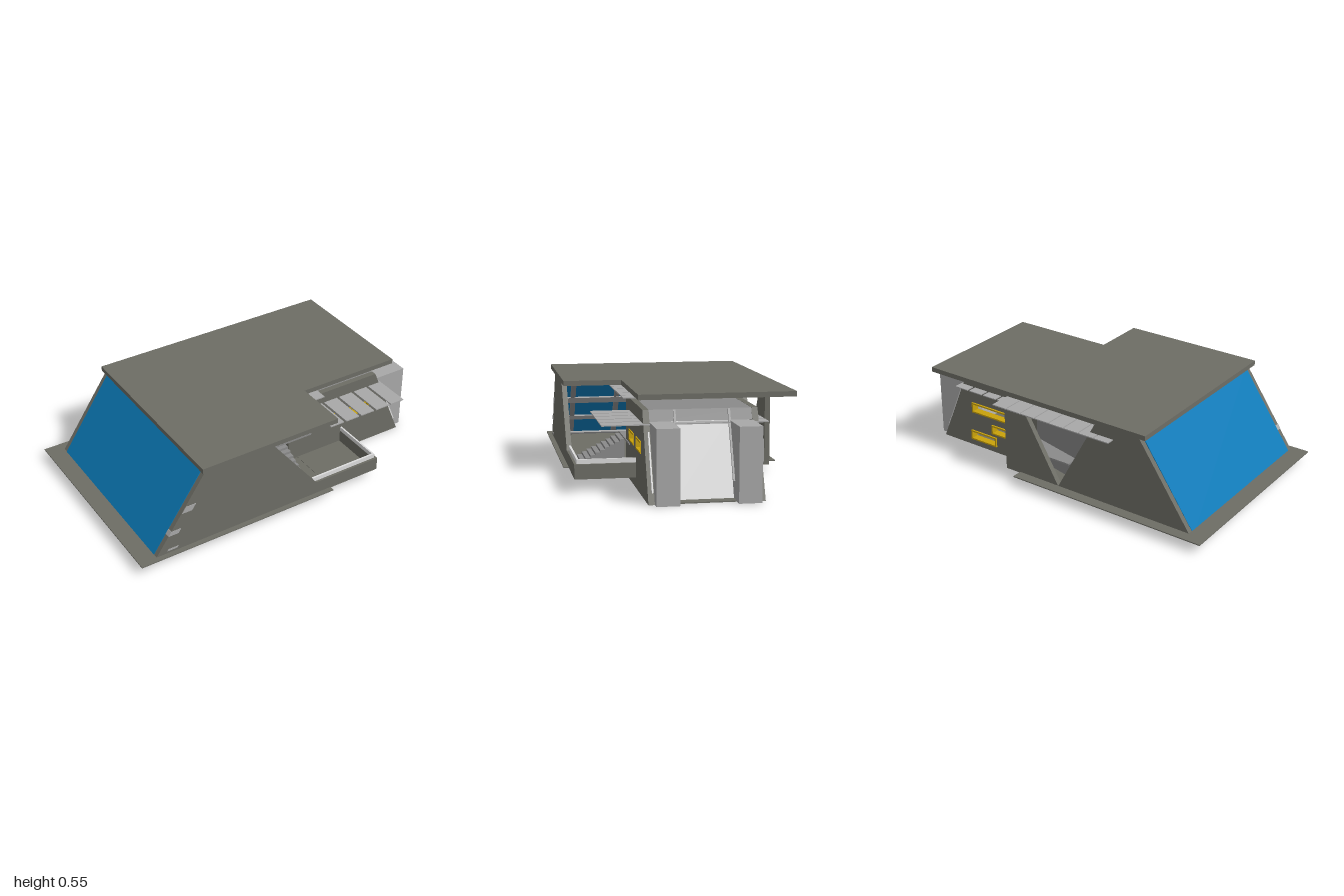
import * as THREE from 'three';

const mat = (name, color) => {
  const m = new THREE.MeshStandardMaterial({ color });
  m.name = name;
  return m;
};

export function createModel() {
  const model = new THREE.Group();
  const concrete = mat('concrete', 0x6d6d65);
  const glass = mat('blueGlass', 0x0b7ab8);
  const yellow = mat('yellowFrame', 0xc9a20a);
  const lightGrey = mat('lightGrey', 0xa8a8a8);
  const pale = mat('paleGrey', 0xdcdcdc);
  const midGrey = mat('midGrey', 0x8a8a8a);
  glass.side = midGrey.side = THREE.DoubleSide;

  const add = (name, geo, m) => {
    const mesh = new THREE.Mesh(geo, m);
    mesh.name = name;
    model.add(mesh);
    return mesh;
  };
  // Box given by its limits on each axis
  const box = (name, m, x0, x1, y0, y1, z0, z1) => {
    const g = new THREE.BoxGeometry(x1 - x0, y1 - y0, z1 - z0);
    g.translate((x0 + x1) / 2, (y0 + y1) / 2, (z0 + z1) / 2);
    return add(name, g, m);
  };
  const shapeOf = pts => new THREE.Shape(pts.map(p => new THREE.Vector2(...p)));
  const rect = ([x0, x1, y0, y1], inset = 0) => [
    [x0 + inset, y0 + inset], [x1 - inset, y0 + inset],
    [x1 - inset, y1 - inset], [x0 + inset, y1 - inset]];
  // Elevation outline given thickness along z, with rectangular holes
  const wall = (name, m, pts, z0, z1, holes = []) => {
    const s = shapeOf(pts);
    holes.forEach(h => s.holes.push(shapeOf(h)));
    const g = new THREE.ExtrudeGeometry(s, { depth: z1 - z0, bevelEnabled: false });
    return add(name, g.translate(0, 0, z0), m);
  };
  // Plan outline given thickness downwards from its top
  const slab = (name, m, pts, top, thick) => {
    const g = new THREE.ExtrudeGeometry(shapeOf(pts), { depth: thick, bevelEnabled: false });
    return add(name, g.rotateX(Math.PI / 2).translate(0, top, 0), m);
  };

  // Roof and ground sheets
  slab('roof', concrete, [[-0.62, -0.55], [0.85, -0.55], [0.85, 0.28], [0.23, 0.28], [0.23, 0.6], [-0.62, 0.6]], 0.548, 0.028);
  box('groundSlab', concrete, -1, 0.22, 0.059, 0.065, -0.61, 0.605);
  box('balconyFloor', concrete, 0.22, 0.545, 0.059, 0.067, 0.24, 0.575);
  box('rearTerraceFloor', concrete, 0.22, 0.317, 0.059, 0.067, -0.55, -0.36);

  // Main hall: front wall running into the balcony parapet
  wall('hallFrontWall', concrete, [[-0.9, 0.062], [0.545, 0.062], [0.545, 0.14], [0.12, 0.14], [-0.18, 0.52], [-0.585, 0.52]], 0.548, 0.577);
  box('balconyEndParapet', concrete, 0.522, 0.545, 0.065, 0.14, 0.245, 0.55);
  box('balconyFrontRail', pale, 0.105, 0.533, 0.138, 0.165, 0.552, 0.564);
  box('balconyEndRail', pale, 0.523, 0.533, 0.138, 0.165, 0.245, 0.564);

  // Rear wall in two pieces, leaving a V-shaped opening
  wall('hallRearWall', concrete, [[-0.9, 0.062], [-0.05, 0.062], [-0.3, 0.52], [-0.585, 0.52]], -0.55, -0.52);
  wall('hallRearWedge', concrete, [[-0.05, 0.062], [0.317, 0.062], [0.317, 0.46], [0.18, 0.46]], -0.55, -0.52);
  box('terraceEnd', lightGrey, 0.3, 0.31, 0.065, 0.205, -0.522, -0.36);
  box('upperFloor', midGrey, -0.1, 0.31, 0.195, 0.205, -0.52, 0.25);

  // Recessed panel behind the opening, turned in plan
  const panel = new THREE.PlaneGeometry(0.6, 0.395);
  panel.rotateY(-Math.atan2(0.13, 0.56));
  panel.scale(1, 1, 1).translate(-0.06, 0.2625, -0.44);
  add('recessedPanel', panel, midGrey);

  // Sloping glass front with mullions and cross beams
  const slopeSheet = (name, m, [xa, ya], [xb, yb], t, z0, z1) =>
    wall(name, m, [[xa, ya], [xa + t, ya], [xb + t, yb], [xb, yb]], z0, z1);
  slopeSheet('slopingGlass', glass, [-0.912, 0.047], [-0.59, 0.52], 0.008, -0.52, 0.548);
  for (const z of [0.46, 0.185, -0.12, -0.455])
    slopeSheet('mullion', midGrey, [-0.885, 0.058], [-0.57, 0.52], 0.03, z - 0.015, z + 0.015);
  for (const [x, y, h] of [[-0.738, 0.293, 0.035], [-0.824, 0.175, 0.025], [-0.834, 0.08, 0.01]])
    slopeSheet('crossBeam', lightGrey, [x, y], [x + h * 0.68, y + h], 0.06, -0.52, 0.58);

  // Stairs up to the upper floor
  for (let i = 0; i < 9; i++)
    box('step', midGrey, -0.08, 0.13, 0.065, 0.08 + i * 0.0145, 0.25, 0.5 - i * 0.028);

  // Side block: floor, two windowed walls, top
  const outline = [[0.155, 0], [0.955, 0], [0.76, 0.457], [0.165, 0.457], [0.155, 0.2]];
  const frontWindows = [[0.305, 0.475, 0.222, 0.285], [0.555, 0.722, 0.22, 0.285]];
  const rearWindows = [[0.43, 0.722, 0.222, 0.285], [0.42, 0.576, 0.12, 0.178], [0.546, 0.737, 0.04, 0.1]];
  wall('blockFrontWall', concrete, outline, 0.212, 0.245, frontWindows.map(w => rect(w, 0.004)));
  wall('blockRearWall', concrete, outline, -0.363, -0.33, rearWindows.map(w => rect(w, 0.004)));
  for (const w of frontWindows)
    wall('frontWindowFrame', yellow, rect(w), 0.208, 0.251, [rect(w, 0.009)]);
  for (const w of rearWindows)
    wall('rearWindowFrame', yellow, rect(w), -0.373, -0.328, [rect(w, 0.009)]);
  box('blockFloor', concrete, 0.155, 0.95, 0, 0.006, -0.33, 0.212);
  box('blockBase', concrete, 0.155, 0.165, 0, 0.065, -0.33, 0.212);
  wall('blockTop', midGrey, [[0.2, 0.397], [0.783, 0.397], [0.758, 0.456], [0.2, 0.456]], -0.33, 0.212);

  // Entrance end: pillars, sloping pale screen, sloping posts
  box('frontPillar', lightGrey, 0.785, 1, 0, 0.395, 0.09, 0.212);
  box('rearPillar', lightGrey, 0.785, 1, 0, 0.395, -0.333, -0.212);
  slopeSheet('entranceScreen', pale, [0.88, 0.004], [0.735, 0.397], 0.008, -0.215, 0.092);
  for (const z of [0.08, -0.208])
    slopeSheet('entrancePost', lightGrey, [0.9, 0.1], [0.76, 0.455], 0.012, z - 0.006, z + 0.006);
  for (const z of [0.222, -0.34])
    slopeSheet('edgeStrip', pale, [0.925, 0.06], [0.8, 0.35], 0.022, z - 0.004, z + 0.004);

  // Sunshade slats
  for (let i = 0; i < 5; i++) {
    const x = 0.29 + i * 0.1055;
    box('lowerSlat', lightGrey, x, x + 0.09, 0.382, 0.388, -0.415, 0.462);
  }
  for (let i = 0; i < 8; i++) {
    const x = -0.418 + i * 0.0985;
    box('upperSlat', lightGrey, x, x + 0.092, 0.461, 0.467, -0.595, 0.29);
  }

  return model;
}
